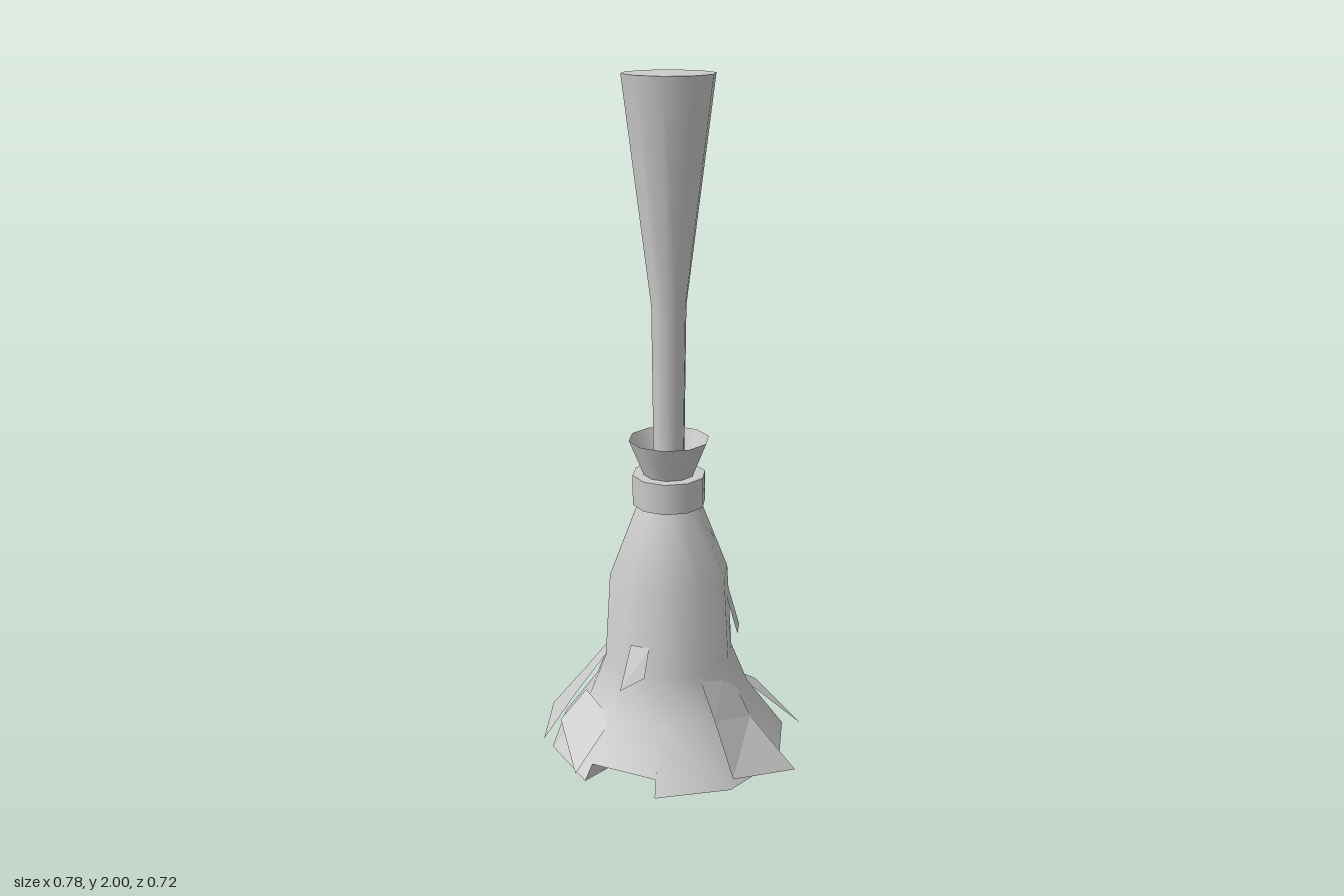
import * as THREE from 'three';

const SIDES = 10;
const STEP = (Math.PI * 2) / SIDES;
const AXIS_X = -0.008;

const solid = new THREE.MeshStandardMaterial({ color: 0xcccccc });
const thin = new THREE.MeshStandardMaterial({ color: 0xcccccc, side: THREE.DoubleSide });
const flat = new THREE.MeshStandardMaterial({ color: 0xcccccc, side: THREE.DoubleSide, flatShading: true });

function addMesh(parent, name, geometry, material) {
  const mesh = new THREE.Mesh(geometry, material);
  mesh.name = name;
  parent.add(mesh);
  return mesh;
}

// Ten-sided surface of revolution, or a slice of it
function turned(profile, first = 0, count = SIDES) {
  const points = profile.map(([r, y]) => new THREE.Vector2(r, y));
  return new THREE.LatheGeometry(points, count, first * STEP, count * STEP);
}

// Strip of quads through rows that each hold a left and a right corner
function strip(rows) {
  const geometry = new THREE.BufferGeometry();
  geometry.setAttribute('position', new THREE.Float32BufferAttribute(rows.flat(2), 3));
  const index = [];
  for (let i = 0; i < rows.length - 1; i++) {
    const a = i * 2;
    index.push(a, a + 2, a + 1, a + 1, a + 2, a + 3);
  }
  geometry.setIndex(index);
  geometry.computeVertexNormals();
  return geometry;
}

export function createModel() {
  const model = new THREE.Group();
  model.name = 'broom';
  const core = new THREE.Group();
  core.name = 'broomCore';
  core.position.x = AXIS_X;
  model.add(core);

  // Handle, widening to its flat end
  addMesh(core, 'handle', turned([[0.044, 0.8], [0.05, 1.37], [0.13, 2]]), solid);
  const end = new THREE.CircleGeometry(0.13, SIDES, Math.PI / 2);
  end.rotateX(-Math.PI / 2);
  addMesh(core, 'handleEnd', end, solid).position.y = 2;

  // Binding band and the open tuft above it
  const band = new THREE.CylinderGeometry(0.107, 0.107, 0.09, SIDES);
  addMesh(core, 'bindingBand', band, solid).position.y = 0.83;
  addMesh(core, 'topTuft', turned([[0.072, 0.87], [0.117, 0.98]]), thin);

  // Bristle bell in slices; two narrow slices have a raised hem
  const upper = [[0.245, 0.18], [0.193, 0.31], [0.177, 0.57], [0.088, 0.8]];
  const hem = [0.36, 0.02];
  const raisedHem = [0.33, 0.062];
  const centre = [0, 0.02];
  const slices = [[0, 5, hem], [5, 1, raisedHem], [6, 3, hem], [9, 1, raisedHem]];
  for (const [first, count, rim] of slices) {
    addMesh(core, 'bristles', turned([rim, ...upper], first, count), solid);
    addMesh(core, 'bristleUnderside', turned([centre, rim], first, count), flat);
  }

  // Radial walls at the sides of the raised slices
  for (const side of [0, 5, 6, 9]) {
    const wall = new THREE.Shape([centre, hem, raisedHem].map(([r, y]) => new THREE.Vector2(r, y)));
    const mesh = addMesh(core, 'notchWall', new THREE.ShapeGeometry(wall), flat);
    mesh.rotation.y = side * STEP - Math.PI / 2;
  }

  // Loose straw flaps lying over the bell, rows from top to tip
  const flaps = {
    rightFlap: [
      [[-0.193, 0.31, -0.057], [-0.193, 0.31, 0.057]],
      [[-0.28, 0.19, -0.08], [-0.28, 0.19, 0.08]],
      [[-0.39, 0.045, -0.11], [-0.378, 0.04, 0.105]],
    ],
    frontLeftFlap: [
      [[0.102, 0.3, 0.165], [0.168, 0.3, 0.062]],
      [[0.15, 0.19, 0.21], [0.245, 0.15, 0.088]],
      [[0.21, 0.055, 0.29], [0.383, 0.005, 0.135]],
    ],
    frontRightFlap: [
      [[-0.25, 0.2, 0.075], [-0.155, 0.17, 0.195]],
      [[-0.325, 0.11, 0.105], [-0.245, 0.05, 0.305]],
    ],
    backLeftFlap: [
      [[0.255, 0.14, -0.09], [0.155, 0.14, -0.23]],
      [[0.39, 0, -0.15], [0.24, 0.06, -0.315]],
    ],
    smallFrontFlap: [
      [[-0.1, 0.4, 0.165], [-0.045, 0.4, 0.178]],
      [[-0.125, 0.28, 0.222], [-0.055, 0.32, 0.213]],
    ],
    smallLeftFlap: [
      [[0.16, 0.53, 0.035], [0.16, 0.53, -0.033]],
      [[0.2, 0.39, 0.035], [0.2, 0.39, -0.033]],
    ],
    smallBackFlap: [
      [[-0.025, 0.4, -0.182], [-0.105, 0.4, -0.157]],
      [[-0.065, 0.24, -0.225], [-0.14, 0.18, -0.242]],
    ],
  };
  for (const [name, rows] of Object.entries(flaps)) addMesh(model, name, strip(rows), flat);

  return model;
}
